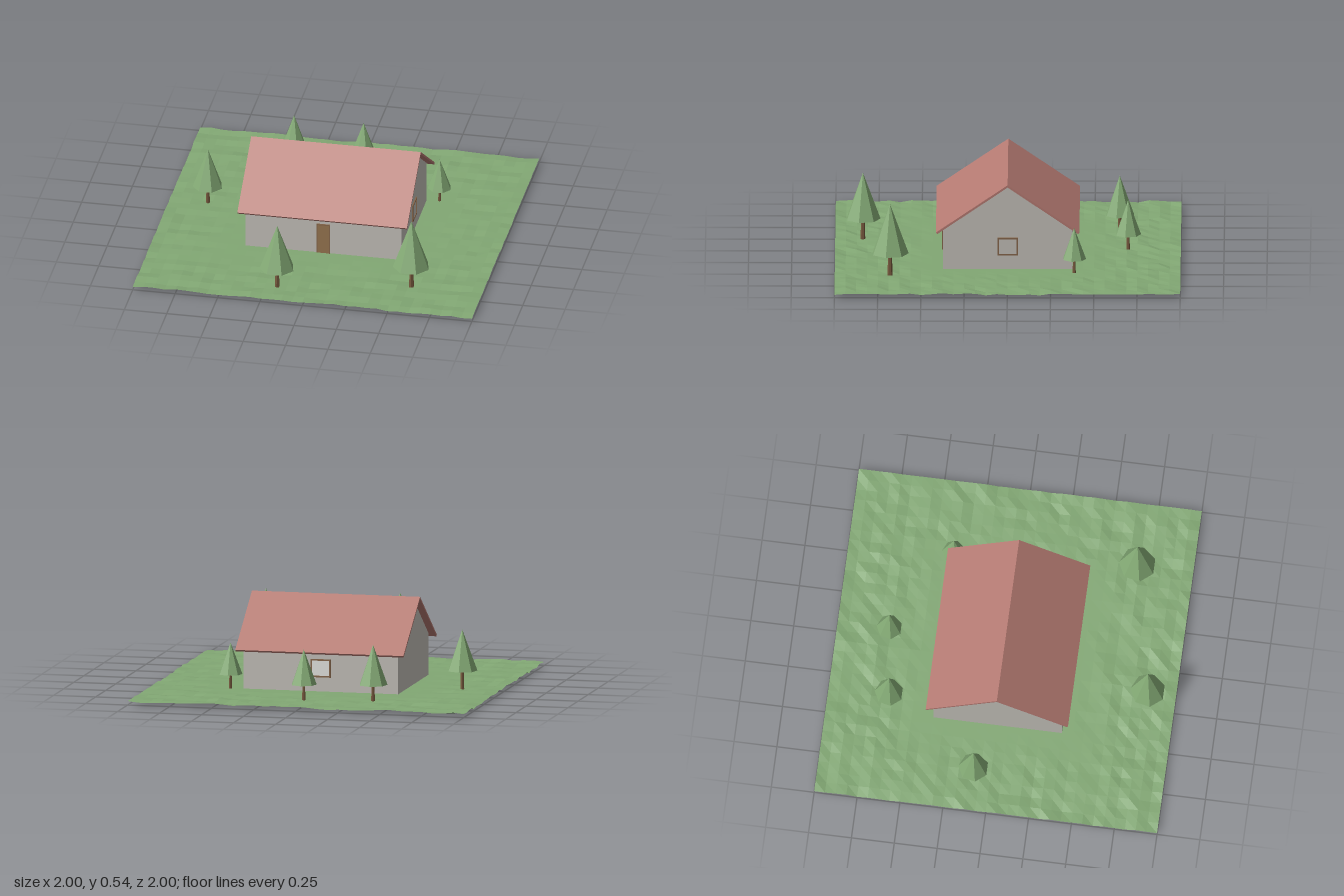
import * as THREE from 'three';

const mat = (name, color, extra = {}) => {
  const m = new THREE.MeshStandardMaterial({ color, ...extra });
  m.name = name;
  return m;
};

export function createModel() {
  const model = new THREE.Group();
  model.name = 'cottageScene';
  const grass = mat('grass', 0x82a874, { flatShading: true, side: THREE.DoubleSide });
  const leaves = mat('leaves', 0x86ad77, { flatShading: true });
  const bark = mat('bark', 0x76583d, { flatShading: true });
  const plaster = mat('plaster', 0xc2bfb8);
  const tile = mat('roofTile', 0xb57a72);
  const doorWood = mat('doorWood', 0x96744f);
  const frameWood = mat('frameWood', 0x86664a);
  const earth = mat('floor', 0x86664f);
  const glass = mat('glass', 0xe4e4e0);

  const add = (parent, name, geo, material, x = 0, y = 0, z = 0) => {
    const mesh = new THREE.Mesh(geo, material);
    mesh.name = name;
    mesh.position.set(x, y, z);
    parent.add(mesh);
    return mesh;
  };
  const box = (parent, name, w, h, d, material, x, y, z) =>
    add(parent, name, new THREE.BoxGeometry(w, h, d), material, x, y, z);

  // Rough lawn, level around the house
  let seed = 7;
  const rand = () => (seed = (seed * 16807) % 2147483647) / 2147483647;
  const lawn = new THREE.PlaneGeometry(2, 2, 32, 32).rotateX(-Math.PI / 2);
  const p = lawn.attributes.position;
  for (let i = 0; i < p.count; i++) {
    const x = p.getX(i), z = p.getZ(i);
    const away = Math.max(Math.abs(x) - 0.55, Math.abs(z) - 0.45, 0);
    const rough = Math.min(1, away / 0.2);
    const wave = 0.4 * Math.sin(x * 11 + z * 5) + 0.6 * Math.sin(z * 37 + 2 * Math.sin(x * 6));
    p.setY(i, 0.021 + rough * (0.005 * wave + 0.009 * (rand() - 0.5)));
  }
  lawn.computeVertexNormals();
  add(model, 'lawn', lawn, grass);

  // House body
  const house = new THREE.Group();
  house.name = 'house';
  model.add(house);
  box(house, 'floor', 0.92, 0.004, 0.74, earth, 0, 0.002, 0);
  box(house, 'walls', 0.92, 0.266, 0.75, plaster, 0, 0.137, 0);

  // Profiles drawn across the house and extruded along its length
  const alongX = (points, length) => {
    const shape = new THREE.Shape(points.map(([a, b]) => new THREE.Vector2(a, b)));
    return new THREE.ExtrudeGeometry(shape, { depth: length, bevelEnabled: false })
      .translate(0, 0, -length / 2).rotateY(-Math.PI / 2);
  };
  add(house, 'gables', alongX([[-0.375, 0.27], [0.375, 0.27], [0, 0.524]], 0.92), plaster);
  add(house, 'roof', alongX([
    [-0.415, 0.252], [-0.408, 0.242], [0, 0.522],
    [0.408, 0.242], [0.415, 0.252], [0, 0.536],
  ], 1), tile);

  // Frame of four bars around an opening, facing +z
  const frame = (parent, name, w, h, bar, depth) => {
    for (const s of [-1, 1]) {
      box(parent, name, bar, h, depth, frameWood, s * (w - bar) / 2, 0, 0);
      box(parent, name, w - 2 * bar, bar, depth, frameWood, 0, s * (h - bar) / 2, 0);
    }
  };

  // Front door
  const door = new THREE.Group();
  door.name = 'door';
  door.position.set(0, 0.108, 0.377);
  box(door, 'doorPanel', 0.07, 0.19, 0.006, doorWood, 0, 0, 0);
  frame(door, 'doorFrame', 0.08, 0.2, 0.006, 0.012);
  house.add(door);

  // Windows on the right-hand gable and the back wall
  const addWindow = (name, x, z, turn, pane) => {
    const win = new THREE.Group();
    win.name = name;
    win.position.set(x, 0.157, z);
    win.rotation.y = turn;
    box(win, 'pane', 0.11, 0.096, 0.004, pane, 0, 0, 0);
    frame(win, 'windowFrame', 0.12, 0.106, 0.009, 0.012);
    house.add(win);
  };
  addWindow('sideWindow', 0.461, 0, Math.PI / 2, plaster);
  addWindow('backWindow', 0, -0.376, Math.PI, glass);

  // Fir trees: x, z, crown base, top, crown radius
  const trees = [
    [-0.18, 0.84, 0.145, 0.42, 0.102],
    [0.58, 0.68, 0.15, 0.445, 0.108],
    [-0.775, -0.1, 0.13, 0.37, 0.088],
    [-0.375, -0.645, 0.115, 0.35, 0.084],
    [0.025, -0.695, 0.11, 0.315, 0.075],
    [0.535, -0.385, 0.105, 0.29, 0.069],
  ];
  for (const [x, z, base, top, r] of trees) {
    const tree = new THREE.Group();
    tree.name = 'tree';
    tree.position.set(x, 0, z);
    const trunkH = base - 0.01;
    add(tree, 'trunk', new THREE.CylinderGeometry(r * 0.1, r * 0.14, trunkH, 6), bark,
      0, 0.015 + trunkH / 2, 0);
    const crown = add(tree, 'crown', new THREE.ConeGeometry(r, top - base, 7), leaves,
      0, (top + base) / 2, 0);
    crown.rotation.y = Math.PI;
    model.add(tree);
  }
  return model;
}
